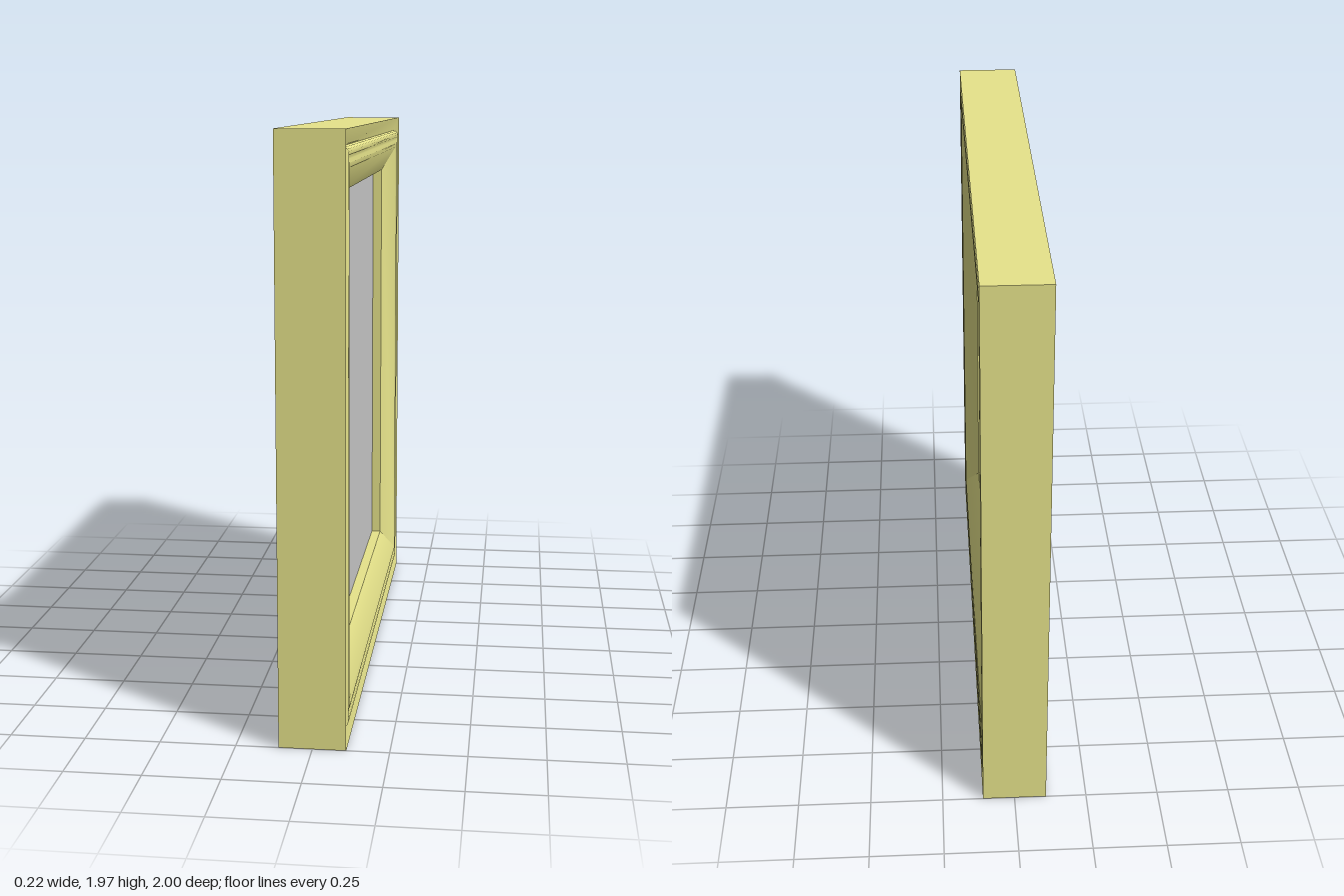
import * as THREE from 'three';
import { toCreasedNormals } from 'three/addons/utils/BufferGeometryUtils.js';

const HALF_Z = 1, HALF_Y = 0.985, DEPTH = 0.11;

// Sweeps a moulding profile of [inset, x] points around a mitred rectangle.
function mitredFrame(profile) {
  const corners = [[1, -1], [-1, -1], [-1, 1], [1, 1]]; // signs of z, y
  const point = ([inset, x], k) => {
    const [sz, sy] = corners[k % 4];
    return [x, HALF_Y + sy * (HALF_Y - inset), sz * (HALF_Z - inset)];
  };
  const positions = [];
  for (let i = 0; i < profile.length - 1; i++) {
    for (let k = 0; k < 4; k++) {
      const a = point(profile[i], k), b = point(profile[i], k + 1);
      const c = point(profile[i + 1], k + 1), d = point(profile[i + 1], k);
      positions.push(...a, ...b, ...c, ...a, ...c, ...d);
    }
  }
  const geometry = new THREE.BufferGeometry();
  geometry.setAttribute('position', new THREE.Float32BufferAttribute(positions, 3));
  return toCreasedNormals(geometry, 0.6);
}

export function createModel() {
  const model = new THREE.Group();
  model.name = 'framedPanel';

  // Open-backed frame: outer wall, sloping rim, rounded bead, inner slope and lip
  const profile = [
    [0, -DEPTH], [0, DEPTH],
    [0.05, 0.092], [0.054, 0.09],
    [0.056, 0.1], [0.062, 0.107], [0.07, 0.11], [0.08, 0.109], [0.088, 0.105],
    [0.094, 0.105], [0.105, 0.109], [0.12, 0.105],
    [0.21, 0.055], [0.21, 0.02],
  ];
  const frame = new THREE.Mesh(
    mitredFrame(profile),
    new THREE.MeshStandardMaterial({ color: 0xe7e48b, side: THREE.DoubleSide })
  );
  frame.name = 'frame';
  model.add(frame);

  // Thin panel held by the lip
  const panel = new THREE.Mesh(
    new THREE.PlaneGeometry(2 * (HALF_Z - 0.21), 2 * (HALF_Y - 0.21)),
    new THREE.MeshStandardMaterial({ color: 0xcccccc, side: THREE.DoubleSide })
  );
  panel.name = 'panel';
  panel.rotation.y = Math.PI / 2;
  panel.position.set(0.02, HALF_Y, 0);
  model.add(panel);

  return model;
}
